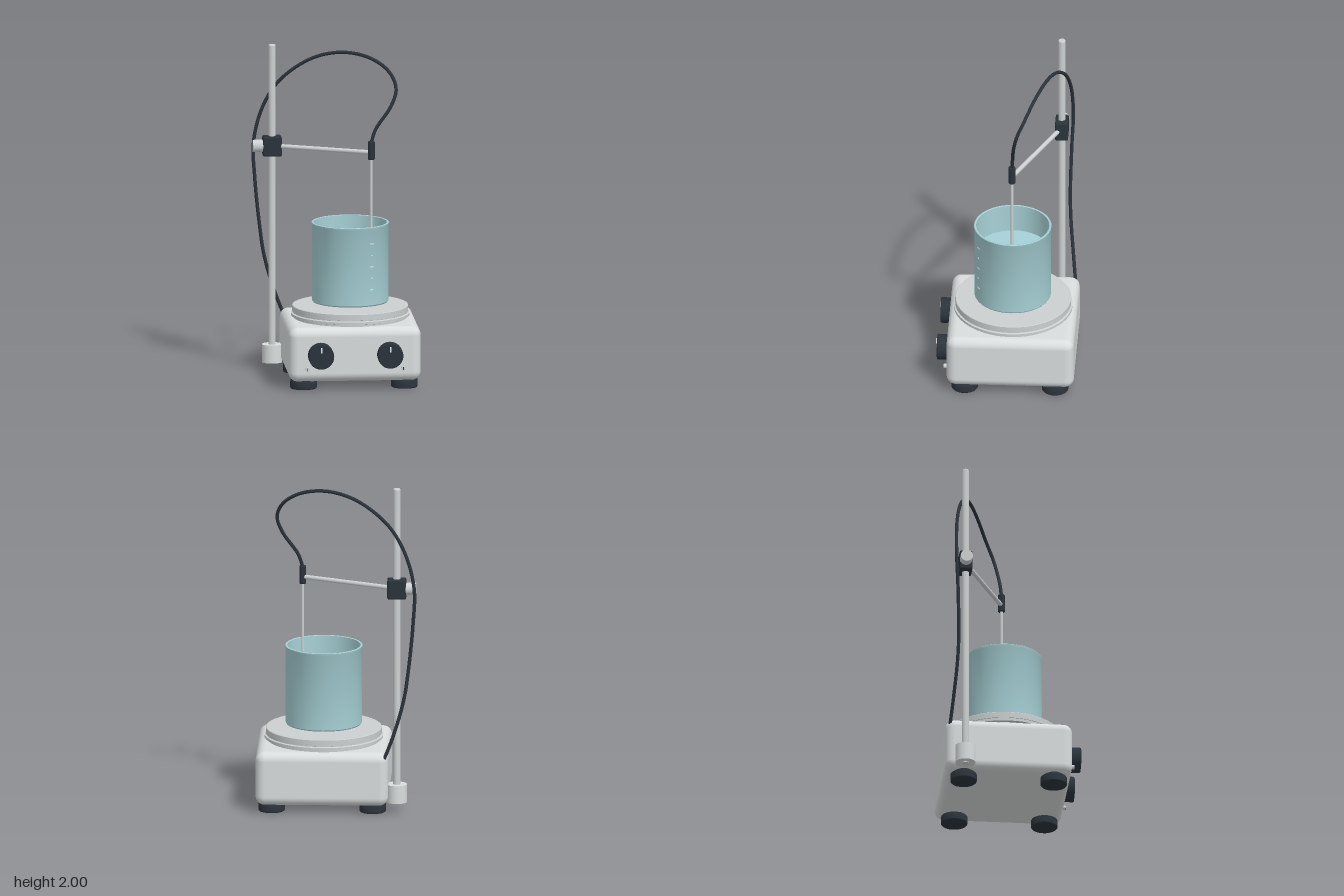
import * as THREE from 'three';
import { toCreasedNormals } from 'three/addons/utils/BufferGeometryUtils.js';
import { RoundedBoxGeometry } from 'three/addons/geometries/RoundedBoxGeometry.js';

const paint = (name, color) => {
  const m = new THREE.MeshStandardMaterial({ color });
  m.name = name;
  return m;
};

export function createModel() {
  const model = new THREE.Group();
  model.name = 'stirringHotplate';
  const shell = paint('light grey shell', 0xd9dddd);
  const steel = paint('steel', 0xcdd1d2);
  const plateGrey = paint('plate grey', 0xcbcfcf);
  const dark = paint('dark plastic', 0x2b333b);
  const glass = paint('glass blue', 0xa6d0d5);
  const water = paint('water blue', 0xa6d0d8);
  const white = paint('white marking', 0xeef2f2);

  const add = (name, geometry, material, x = 0, y = 0, z = 0, parent = model) => {
    const mesh = new THREE.Mesh(geometry, material);
    mesh.name = name;
    mesh.position.set(x, y, z);
    parent.add(mesh);
    return mesh;
  };
  // Revolved profile with sharp edges kept
  const lathe = (points, sides = 40) => toCreasedNormals(
    new THREE.LatheGeometry(points.map(([r, y]) => new THREE.Vector2(r, y)), sides), 0.6);
  // Straight round bar between two points
  const bar = (name, a, b, r, material, sides = 20) => {
    const from = new THREE.Vector3(...a), to = new THREE.Vector3(...b);
    const dir = to.clone().sub(from);
    const mesh = add(name, new THREE.CylinderGeometry(r, r, dir.length(), sides), material);
    mesh.position.copy(from).add(to).multiplyScalar(0.5);
    mesh.quaternion.setFromUnitVectors(new THREE.Vector3(0, 1, 0), dir.normalize());
    return mesh;
  };

  // Housing and feet
  const cx = 0.082, cz = -0.038;
  add('housing', new RoundedBoxGeometry(0.796, 0.33, 0.766, 5, 0.055), shell, cx, 0.215, cz);
  const footShape = lathe([[0, 0], [0.076, 0], [0.08, 0.005], [0.08, 0.045], [0.065, 0.068], [0, 0.068]], 28);
  for (const sx of [-1, 1]) for (const sz of [-1, 1]) {
    add('foot', footShape, dark, cx + sx * 0.304, 0, -0.034 + sz * 0.272);
  }

  // Heating plate with its lower rim
  add('heatingPlate', lathe([
    [0, 0.375], [0.34, 0.375], [0.34, 0.39], [0.357, 0.394], [0.357, 0.409],
    [0.346, 0.413], [0.346, 0.417], [0.349, 0.418], [0.349, 0.453], [0.346, 0.456], [0, 0.456],
  ], 48), plateGrey, cx, 0, cz);

  // Control knobs and front screws
  const knobShape = lathe([[0, 0], [0.077, 0], [0.077, 0.06], [0.073, 0.065], [0, 0.065]], 32);
  for (const x of [-0.127, 0.29]) {
    const knob = new THREE.Group();
    knob.name = 'controlKnob';
    knob.position.set(x, 0.217, 0.343);
    model.add(knob);
    add('knobBody', knobShape, dark, 0, 0, 0, knob).rotation.x = Math.PI / 2;
    add('knobPointer', new THREE.BoxGeometry(0.008, 0.032, 0.009), white, 0, 0.04, 0.067, knob);
  }
  for (const x of [-0.207, 0.37]) {
    bar('frontScrew', [x, 0.132, 0.335], [x, 0.132, 0.365], 0.014, steel, 16);
    add('screwSlot', new THREE.BoxGeometry(0.004, 0.018, 0.002), dark, x, 0.132, 0.3655);
  }

  // Beaker, its contents and the graduation marks
  add('beaker', lathe([
    [0, 0.477], [0.225, 0.477], [0.23, 0.484], [0.23, 0.948], [0.233, 0.953],
    [0.233, 0.959], [0.229, 0.962], [0.22, 0.96], [0.219, 0.49], [0, 0.49],
  ], 40), glass, cx, 0, cz + 0.003);
  add('liquid', new THREE.CylinderGeometry(0.2185, 0.2185, 0.295, 40), water, cx, 0.6405, cz + 0.003);
  const angle = 0.51;
  for (let i = 0; i < 5; i++) {
    const mark = add('graduationMark', new THREE.BoxGeometry(i % 2 ? 0.014 : 0.024, 0.006, 0.004), white,
      cx + Math.sin(angle) * 0.23, 0.58 + i * 0.07, cz + 0.003 + Math.cos(angle) * 0.23);
    mark.rotation.y = angle;
  }

  // Support rod, foot socket and clamp
  const rx = -0.367, rz = -0.308;
  bar('supportRod', [rx, 0.055, rz], [rx, 1.995, rz], 0.022, steel, 24);
  add('rodTip', lathe([[0.022, 0], [0.018, 0.005], [0, 0.005]], 24), steel, rx, 1.995, rz);
  bar('rodSocket', [rx, 0.06, rz], [rx, 0.17, rz], 0.061, shell, 32);
  add('clampBlock', new RoundedBoxGeometry(0.114, 0.122, 0.078, 2, 0.01), dark, rx, 1.381, rz);
  bar('clampScrew', [-0.483, 1.381, -0.31], [-0.42, 1.381, -0.31], 0.037, steel, 24);

  // Arm, probe and probe holder
  const px = 0.209, pz = -0.037;
  bar('arm', [rx, 1.381, rz], [px, 1.381, pz], 0.0135, steel);
  bar('probe', [px, 0.56, pz], [px, 1.38, pz], 0.0085, steel, 16);
  add('probeHolder', lathe([[0, 1.338], [0.018, 1.338], [0.021, 1.342], [0.021, 1.445], [0.017, 1.45], [0, 1.45]], 20),
    dark, px, 0, pz);

  // Cable looping from the probe down to the back of the housing
  const path = new THREE.CatmullRomCurve3([
    [0.209, 1.44, -0.037], [0.235, 1.52, -0.042], [0.33, 1.66, -0.054], [0.362, 1.76, -0.075],
    [0.325, 1.855, -0.12], [0.22, 1.93, -0.172], [0.06, 1.96, -0.23], [-0.12, 1.92, -0.285],
    [-0.31, 1.785, -0.337], [-0.415, 1.62, -0.364], [-0.473, 1.4, -0.371], [-0.467, 1.18, -0.362],
    [-0.435, 0.86, -0.355], [-0.412, 0.71, -0.36], [-0.36, 0.52, -0.376], [-0.3, 0.36, -0.392],
    [-0.27, 0.3, -0.398],
  ].map((p) => new THREE.Vector3(...p)));
  add('cable', new THREE.TubeGeometry(path, 110, 0.0105, 10), dark);

  return model;
}
